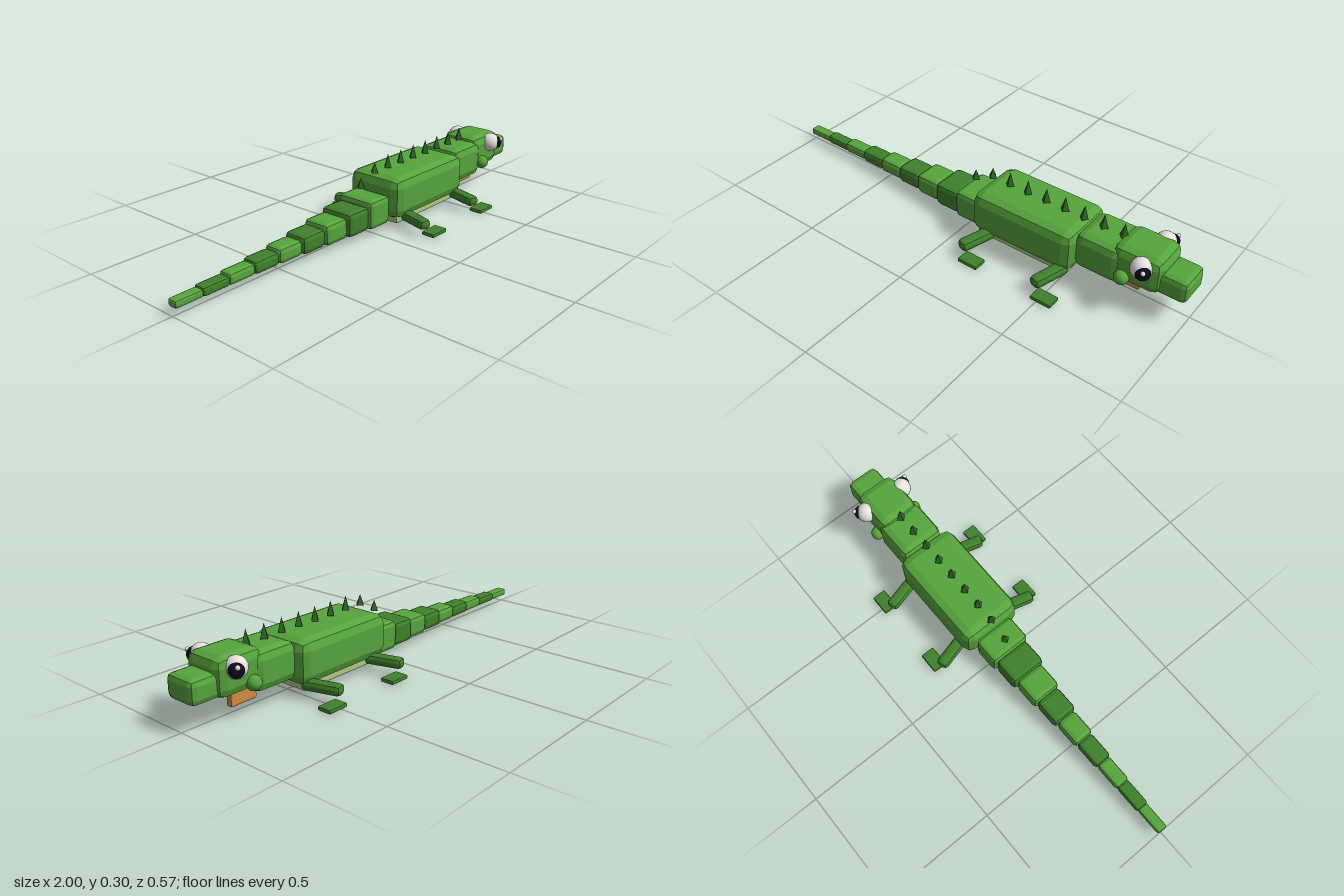
import * as THREE from 'three';
import { RoundedBoxGeometry } from 'three/addons/geometries/RoundedBoxGeometry.js';

const mat = (name, color, flatShading = false) => {
  const m = new THREE.MeshStandardMaterial({ color });
  m.name = name;
  return m;
};

export function createModel() {
  const lizard = new THREE.Group();
  lizard.name = 'lizard';
  const green = mat('green', 0x57a53d);
  const darkGreen = mat('darkGreen', 0x3f812c);
  const spikeGreen = mat('spikeGreen', 0x33692a);
  const pale = mat('paleGreen', 0xadcb84);
  const orange = mat('orange', 0xd18d42);
  const white = mat('white', 0xf0ece6);
  const black = mat('nearBlack', 0x0b0b20);

  const add = (name, geometry, material, x, y, z) => {
    const mesh = new THREE.Mesh(geometry, material);
    mesh.name = name;
    mesh.position.set(x, y, z);
    lizard.add(mesh);
    return mesh;
  };

  // Faceted bevelled block given by its x and y limits and half width in z
  const block = (name, material, x0, x1, y0, y1, halfZ, bevel, z = 0) => {
    const g = new RoundedBoxGeometry(x1 - x0, y1 - y0, halfZ * 2, 1, bevel);
    g.computeVertexNormals();
    return add(name, g, material, (x0 + x1) / 2, (y0 + y1) / 2, z);
  };
  const ball = (name, material, r, x, y, z) =>
    add(name, new THREE.SphereGeometry(r, 20, 14), material, x, y, z);

  // Trunk, neck and head
  block('body', green, 0.065, 0.545, 0.05, 0.232, 0.137, 0.042);
  block('belly', pale, 0.09, 0.52, 0.03, 0.062, 0.113, 0.006);
  block('neck', green, 0.535, 0.74, 0.08, 0.238, 0.102, 0.035);
  block('head', green, 0.69, 0.9, 0.104, 0.259, 0.094, 0.038);
  block('snout', green, 0.86, 1.0, 0.11, 0.208, 0.073, 0.024);
  block('throatFlap', orange, 0.665, 0.788, 0.025, 0.125, 0.0145, 0.008);

  // Tail segments from body to tip: top height and half width
  const tail = [
    [0.16, 0.092], [0.14, 0.08], [0.126, 0.066], [0.113, 0.056], [0.102, 0.046],
    [0.091, 0.039], [0.083, 0.032], [0.073, 0.028], [0.067, 0.023],
  ];
  tail.forEach(([top, half], i) => {
    const x = 0.01 - i * 0.1185;
    block('tailSegment', i % 2 ? darkGreen : green, x - 0.062, x + 0.062, 0.035, top, half,
      Math.min(0.02, (top - 0.035) * 0.3));
  });

  // Spikes along the back
  for (let i = 0; i < 9; i++) {
    const h = i < 2 ? 0.045 : 0.06;
    const base = i === 0 ? 0.195 : 0.24;
    add('backSpike', new THREE.ConeGeometry(0.02, h, 4).toNonIndexed(), spikeGreen,
      -0.01 + i * 0.088, base + h / 2, 0).geometry.computeVertexNormals();
  }

  for (const s of [1, -1]) {
    // Legs splay outwards and slightly back, feet lie flat beside them
    for (const x of [0, 0.353]) {
      const leg = block('leg', darkGreen, 0.105 + x, 0.159 + x, 0.033, 0.078, 0.083, 0.018, s * 0.176);
      leg.rotation.y = -s * 0.27;
      block('foot', darkGreen, 0.118 + x, 0.212 + x, 0.002, 0.02, 0.031, 0.006, s * 0.256);
    }
    // Cheeks and eyes
    ball('cheek', green, 0.03, 0.75, 0.136, s * 0.099);
    ball('eye', white, 0.043, 0.822, 0.216, s * 0.094);
    ball('pupil', black, 0.031, 0.837, 0.215, s * 0.112);
    ball('eyeGlint', white, 0.0095, 0.85, 0.232, s * 0.136);
  }
  return lizard;
}
